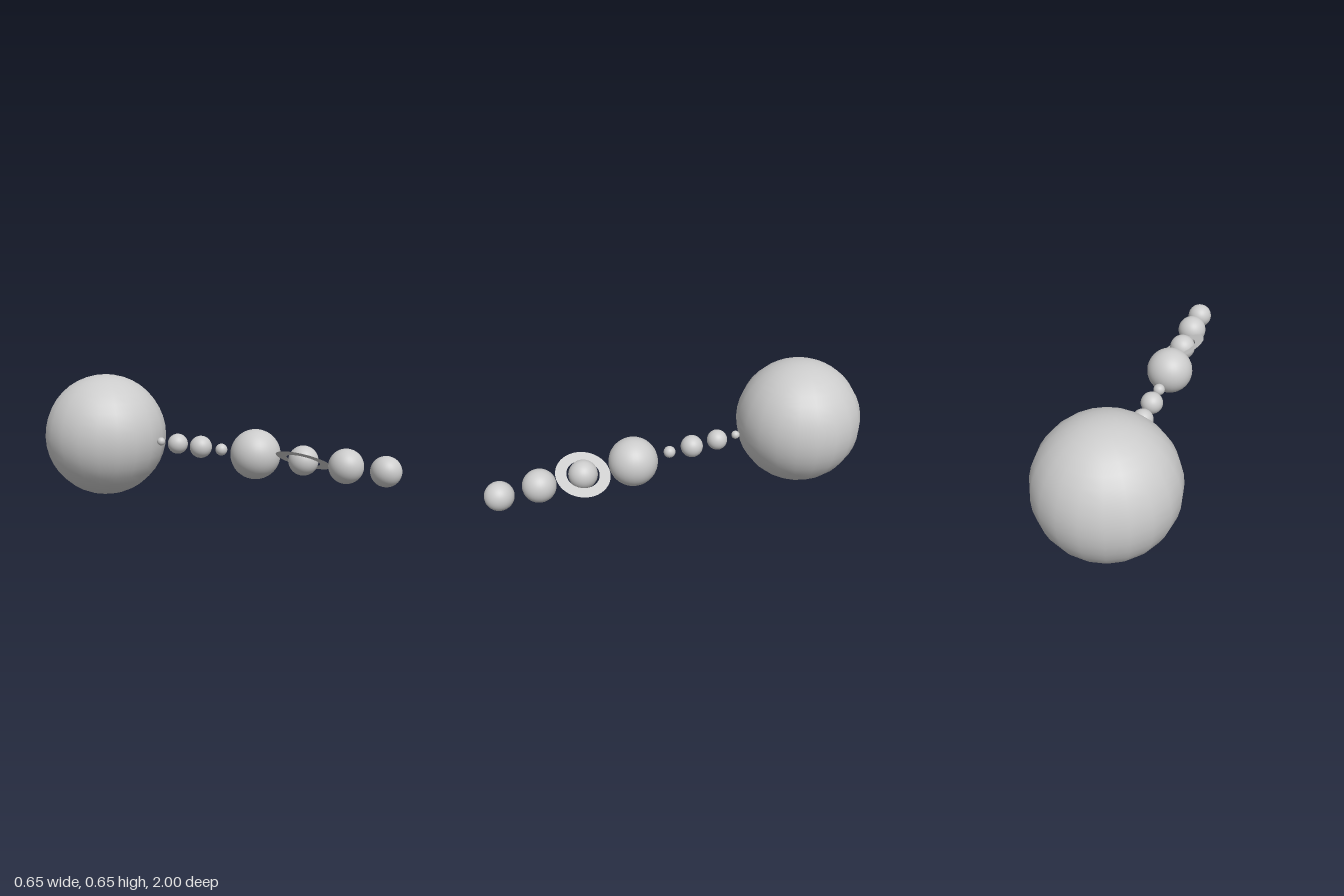
import * as THREE from 'three';

const AXIS_Y = 0.326; // common height of all the centres

export function createModel() {
  const group = new THREE.Group();
  const grey = new THREE.MeshStandardMaterial({ color: 0xcccccc });

  function addSphere(name, z, radius, segments = 32) {
    const mesh = new THREE.Mesh(new THREE.SphereGeometry(radius, segments, segments), grey);
    mesh.name = name;
    mesh.position.set(0, AXIS_Y, z);
    group.add(mesh);
  }

  // The sun, slightly coarser than the planets
  addSphere('sun', -0.674, 0.326, 20);

  // Planets in a row towards the front: name, z, radius
  const planets = [
    ['firstPlanet', -0.287, 0.021],
    ['secondPlanet', -0.178, 0.051],
    ['thirdPlanet', -0.033, 0.055],
    ['fourthPlanet', 0.091, 0.029],
    ['giantPlanet', 0.286, 0.118],
    ['ringedPlanet', 0.541, 0.068],
    ['seventhPlanet', 0.751, 0.077],
    ['eighthPlanet', 0.934, 0.066],
  ];
  planets.forEach(([name, z, radius]) => addSphere(name, z, radius));

  // Flat ring, tilted down towards +x
  const ringMaterial = grey.clone();
  ringMaterial.side = THREE.DoubleSide;
  const ringGeometry = new THREE.RingGeometry(0.077, 0.128, 64);
  ringGeometry.rotateX(-Math.PI / 2);
  const ring = new THREE.Mesh(ringGeometry, ringMaterial);
  ring.name = 'planetRing';
  ring.position.set(0, AXIS_Y, 0.541);
  ring.rotation.z = THREE.MathUtils.degToRad(-26.7);
  group.add(ring);

  return group;
}
